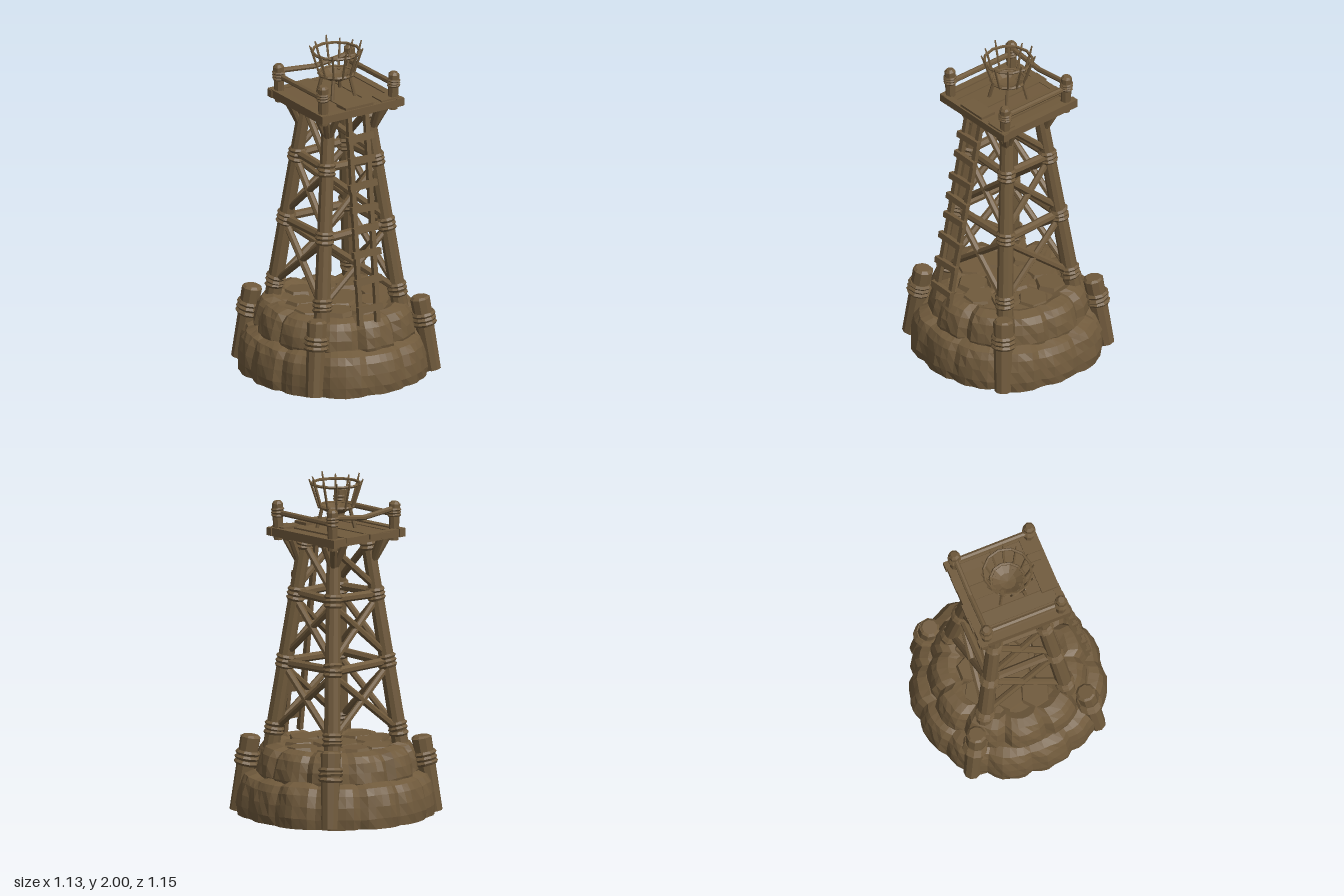
import * as THREE from 'three';

const V = (x, y, z) => new THREE.Vector3(x, y, z);
const UP = V(0, 1, 0);

export function createModel() {
  const weatheredBrown = new THREE.MeshStandardMaterial({ color: 0x705a3c, flatShading: true });
  weatheredBrown.name = 'weatheredBrown';
  const model = new THREE.Group();
  model.name = 'watchtower';

  let seed = 7;
  const rand = (a, b) => {
    seed = (seed * 16807) % 2147483647;
    return a + (b - a) * (seed / 2147483647);
  };

  const add = (name, geo, parent = model) => {
    const mesh = new THREE.Mesh(geo, weatheredBrown);
    mesh.name = name;
    parent.add(mesh);
    return mesh;
  };
  const group = (name) => {
    const g = new THREE.Group();
    g.name = name;
    model.add(g);
    return g;
  };
  // Round timber between two points
  const pole = (name, a, b, r0, r1, parent, sides = 9) => {
    const m = add(name, new THREE.CylinderGeometry(r1, r0, a.distanceTo(b), sides), parent);
    m.position.lerpVectors(a, b, 0.5);
    m.quaternion.setFromUnitVectors(UP, b.clone().sub(a).normalize());
    return m;
  };
  // Rope coils stacked around a timber
  const rope = (a, b, t, r, parent, count = 2, thick = 0.014) => {
    const dir = b.clone().sub(a).normalize();
    for (let i = 0; i < count; i++) {
      const m = add('ropeBinding', new THREE.TorusGeometry(r, thick, 5, 10), parent);
      m.position.lerpVectors(a, b, t).addScaledVector(dir, (i - (count - 1) / 2) * thick * 1.9);
      m.quaternion.setFromUnitVectors(V(0, 0, 1), dir);
      m.rotateX(rand(-0.12, 0.12));
    }
  };
  const box = (name, x, y, z, w, h, d, parent) => {
    const m = add(name, new THREE.BoxGeometry(w, h, d), parent);
    m.position.set(x, y, z);
    return m;
  };

  // Ring of boulders: a lathe with a groove between neighbouring stones
  const stoneTier = (name, profile, stones, phase) => {
    const sizes = Array.from({ length: stones }, () => rand(-0.012, 0.012));
    const geo = new THREE.LatheGeometry(profile.map(([x, y]) => new THREE.Vector2(x, y)), stones * 6);
    const p = geo.attributes.position;
    for (let i = 0; i < p.count; i++) {
      const x = p.getX(i), y = p.getY(i), z = p.getZ(i), r = Math.hypot(x, z);
      if (r < 0.3) continue;
      const turn = Math.atan2(z, x) / (2 * Math.PI) * stones + phase + stones;
      const id = Math.floor(turn + 1e-4) % stones;
      const u = Math.abs((turn + 1e-4) % 1 - 0.5) * 2;
      const groove = Math.pow(u, 5);
      const chip = 0.007 * Math.sin(x * 41 + y * 29) * Math.cos(z * 37 - y * 33);
      const k = (r + sizes[id] * (1 - groove) - 0.035 * groove + chip) / r;
      const lift = y > 0.01 ? sizes[id] * 0.6 * (1 - groove) - 0.012 * groove : 0;
      p.setXYZ(i, x * k, y + lift, z * k);
    }
    geo.computeVertexNormals();
    add(name, geo);
  };
  stoneTier('lowerStones', [[0, 0], [0.568, 0], [0.575, 0.06], [0.567, 0.13], [0.55, 0.195],
    [0.525, 0.235], [0.47, 0.255], [0.4, 0.25]], 13, 0.3);
  stoneTier('upperStones', [[0.465, 0.2], [0.478, 0.26], [0.468, 0.32], [0.45, 0.375],
    [0.42, 0.41], [0.36, 0.425], [0.31, 0.405], [0, 0.405]], 11, 0.75);

  // Uneven paving inside the stone ring
  const paving = group('paving');
  for (let i = 0; i < 9; i++) {
    const a = i / 9 * Math.PI * 2 + rand(-0.1, 0.1), r = i % 2 ? 0.21 : 0.25;
    const slab = add('pavingSlab', new THREE.CylinderGeometry(0.085, 0.1, 0.03, 6), paving);
    slab.position.set(Math.cos(a) * r, 0.407, Math.sin(a) * r);
    slab.rotation.set(rand(-0.06, 0.06), rand(0, 3), rand(-0.06, 0.06));
  }
  add('pavingCentre', new THREE.CylinderGeometry(0.13, 0.15, 0.03, 7), paving).position.y = 0.405;

  // Stakes holding the stones at the four diagonals
  const corners = [[1, 1], [1, -1], [-1, -1], [-1, 1]];
  const stakes = group('baseStakes');
  for (const [sx, sz] of corners) {
    const a = V(sx * 0.415, 0.01, sz * 0.395), b = V(sx * 0.36, 0.445, sz * 0.345);
    pole('stake', a, b, 0.05, 0.06, stakes);
    pole('stakeTip', b, V(sx * 0.359, 0.458, sz * 0.344), 0.06, 0.045, stakes);
    rope(a, b, 0.72, 0.06, stakes, 3, 0.015);
  }

  // Four tapering legs with rope bindings
  const legAt = (sx, sz, y) => {
    const k = 0.27 - (y - 0.42) * 0.113;
    return V(sx * k, y, sz * (k - 0.012));
  };
  const legs = group('towerLegs');
  for (const [sx, sz] of corners) {
    const a = legAt(sx, sz, 0.38), b = legAt(sx, sz, 1.66);
    pole('leg', a, b, 0.05, 0.04, legs, 10);
    for (const y of [0.5, 0.9, 1.3, 1.59]) {
      rope(a, b, (y - 0.38) / 1.28, 0.047 - (y - 0.5) * 0.006, legs, y < 1.5 ? 3 : 2);
    }
    // Struts flaring out to the platform corners
    const low = legAt(sx, sz, 1.47);
    pole('platformStrut', low, V(sx * 0.235, 1.66, sz * 0.14), 0.021, 0.021, legs, 7);
    pole('platformStrut', low, V(sx * 0.14, 1.66, sz * 0.235), 0.021, 0.021, legs, 7);
    pole('cornerStrut', low, V(sx * 0.22, 1.66, sz * 0.22), 0.021, 0.021, legs, 7);
  }

  // Horizontal beams and cross braces on every side
  const braces = group('braces');
  corners.forEach((c, i) => {
    const d = corners[(i + 1) % 4];
    const between = (name, y0, y1, r) => pole(name, legAt(...c, y0), legAt(...d, y1), r, r, braces, 7);
    between('crossBeam', 0.89, 0.9, 0.026);
    between('crossBeam', 1.31, 1.3, 0.026);
    between('diagonalBrace', 0.49, 0.87, 0.02);
    between('diagonalBrace', 0.87, 0.49, 0.022);
    between('diagonalBrace', 0.94, 1.27, 0.02);
    between('diagonalBrace', 1.27, 0.94, 0.022);
    between('diagonalBrace', 1.6, 1.34, 0.021);
  });

  // Platform: joists below uneven planks
  const platform = group('platform');
  for (const s of [-1, 1]) {
    box('joist', 0, 1.645, s * 0.15, 0.52, 0.035, 0.05, platform);
    box('edgeBeam', s * 0.262, 1.668, -0.005, 0.045, 0.05, 0.57, platform);
  }
  for (let i = 0; i < 6; i++) {
    const x = -0.225 + i * 0.09, front = rand(0.25, 0.285), back = rand(0.255, 0.295);
    const plank = box('plank', x, 1.675 + rand(-0.005, 0.005), (front - back) / 2, 0.087, 0.03, front + back, platform);
    plank.rotation.z = rand(-0.05, 0.05);
  }
  for (const s of [-1, 1]) {
    box('endBeam', 0.005 * s, 1.668, s * 0.262, 0.575, 0.045, 0.04, platform);
  }
  box('ladderLanding', -0.015, 1.695, 0.222, 0.19, 0.02, 0.1, platform);
  box('sidePatch', 0.2, 1.693, 0.22, 0.12, 0.014, 0.1, platform);

  // Railing on the back and both sides
  const railing = group('railing');
  for (const [sx, sz] of corners) {
    const h = sx * sz > 0 ? 1.835 : 1.85;
    const a = V(sx * 0.242, 1.62, sz * 0.232), b = V(sx * 0.248, h, sz * 0.236);
    pole('railPost', a, b, 0.028, 0.033, railing, 8);
    pole('postTip', b, V(sx * 0.25, h + 0.015, sz * 0.237), 0.033, 0.02, railing, 8);
    rope(a, b, 0.76, 0.031, railing, 3, 0.009);
  }
  for (const s of [-1, 1]) {
    pole('sideRail', V(s * 0.24, 1.78, 0.25), V(s * 0.24, 1.775, -0.25), 0.017, 0.017, railing, 7);
  }
  pole('backRail', V(-0.25, 1.81, -0.235), V(0, 1.785, -0.235), 0.016, 0.016, railing, 7);
  pole('backRail', V(0, 1.785, -0.235), V(0.25, 1.815, -0.235), 0.016, 0.016, railing, 7);

  // Leaning ladder
  const ladder = group('ladder');
  const rail = (t, side) => V(-0.068 + 0.053 * t + side * 0.06, 0.41 + 1.24 * t, 0.45 - 0.205 * t);
  for (const s of [-1, 1]) {
    const a = rail(0, s), b = rail(1, s);
    const m = add('ladderRail', new THREE.BoxGeometry(0.028, a.distanceTo(b), 0.028), ladder);
    m.position.lerpVectors(a, b, 0.5);
    m.quaternion.setFromUnitVectors(UP, b.sub(a).normalize());
  }
  [0.505, 0.67, 0.83, 0.975, 1.095, 1.23, 1.38, 1.51].forEach((y, i) => {
    const p = rail((y - 0.41) / 1.24, 0);
    const m = box('rung', p.x, y, p.z + 0.018, 0.17 + (i % 3) * 0.01, 0.038, 0.03, ladder);
    m.rotation.set(-0.16, 0, (i % 2 ? 1 : -1) * 0.03);
  });

  // Fire basket on short legs
  const basket = group('fireBasket');
  const ring = (name, r, y, t) => {
    const m = add(name, new THREE.TorusGeometry(r, t, 5, 12), basket);
    m.rotation.x = Math.PI / 2;
    m.position.y = y;
  };
  ring('topHoop', 0.142, 1.955, 0.009);
  ring('lowerHoop', 0.102, 1.82, 0.01);
  const bowl = [[0, 1.772], [0.05, 1.782], [0.1, 1.815], [0.092, 1.822], [0.05, 1.797], [0, 1.79]];
  add('bowl', new THREE.LatheGeometry(bowl.map(([x, y]) => new THREE.Vector2(x, y)), 12), basket);
  for (let i = 0; i < 12; i++) {
    const a = i / 12 * Math.PI * 2 + 0.2, c = Math.cos(a), s = Math.sin(a);
    const top = i % 3 === 0 ? 2.0 : 1.98;
    const mid = V(c * 0.145, 1.95, s * 0.145);
    pole('basketBar', V(c * 0.1, 1.81, s * 0.1), mid, 0.007, 0.007, basket, 5);
    pole('barSpike', mid, V(c * 0.158, top, s * 0.158), 0.007, 0.004, basket, 5);
  }
  for (const [sx, sz] of corners) {
    pole('basketLeg', V(sx * 0.08, 1.68, sz * 0.08), V(sx * 0.055, 1.82, sz * 0.055), 0.011, 0.011, basket, 6);
  }

  return model;
}
